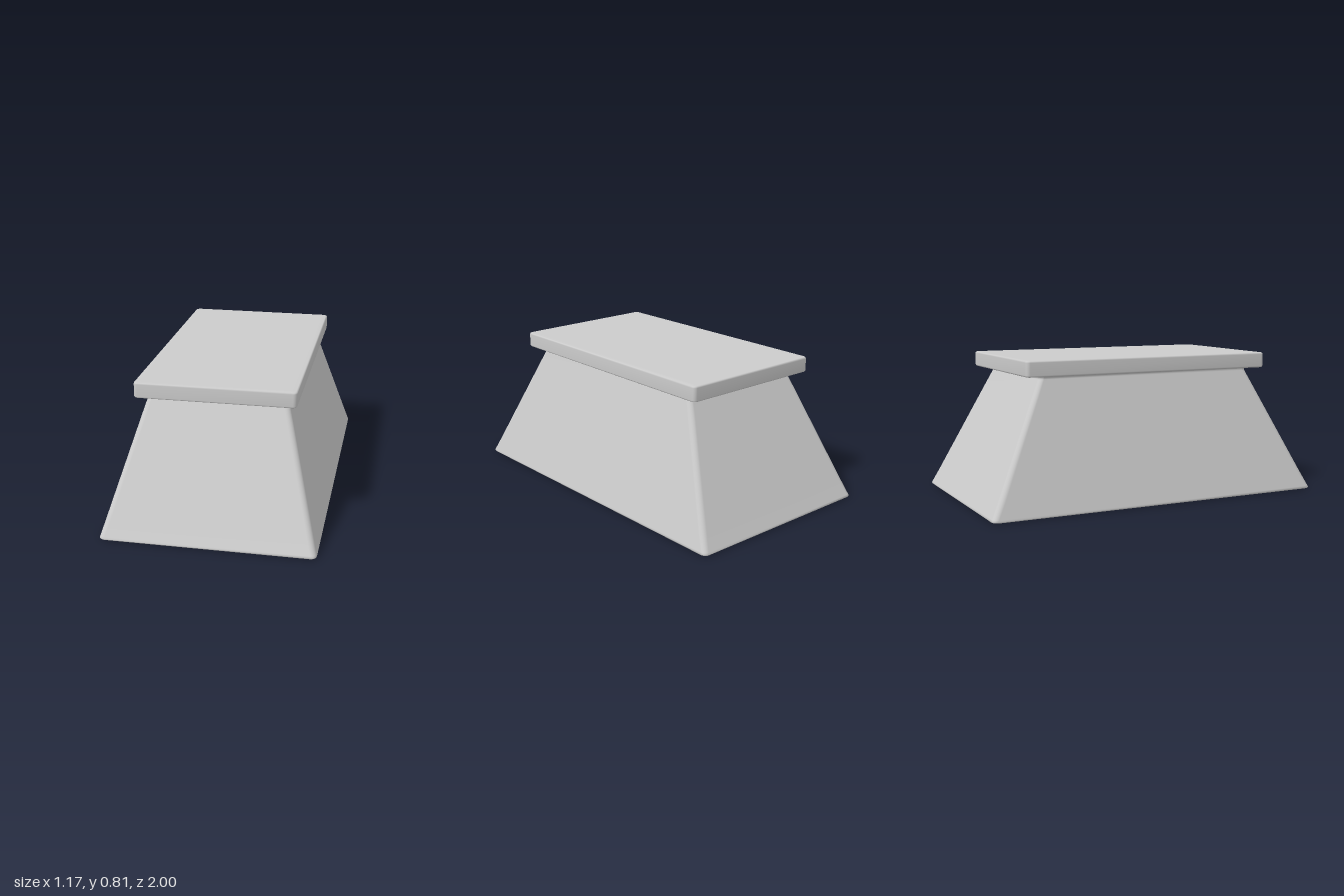
import * as THREE from 'three';

const CORNER_STEPS = 5;

// Rounded rectangle outline, counter-clockwise seen from above
function ring([hx, hz, y, r]) {
  const points = [];
  for (let c = 0; c < 4; c++) {
    const sx = c === 0 || c === 3 ? 1 : -1;
    const sz = c < 2 ? -1 : 1;
    for (let k = 0; k <= CORNER_STEPS; k++) {
      const a = (c + k / CORNER_STEPS) * Math.PI / 2;
      points.push([sx * (hx - r) + r * Math.cos(a), y, sz * (hz - r) - r * Math.sin(a)]);
    }
  }
  return points;
}

// Smooth closed skin through sections [halfWidth, halfDepth, y, cornerRadius], bottom to top
function loft(sections) {
  const n = 4 * (CORNER_STEPS + 1);
  const position = [];
  const index = [];
  sections.forEach((s) => ring(s).forEach((p) => position.push(...p)));
  const last = (sections.length - 1) * n;
  const bottom = sections.length * n;
  position.push(0, sections[0][2], 0, 0, sections[sections.length - 1][2], 0);
  for (let j = 0; j < n; j++) {
    const k = (j + 1) % n;
    for (let i = 0; i < last; i += n) {
      index.push(i + j, i + k, i + n + k, i + j, i + n + k, i + n + j);
    }
    index.push(bottom, k, j, bottom + 1, last + j, last + k);
  }
  const geometry = new THREE.BufferGeometry();
  geometry.setAttribute('position', new THREE.Float32BufferAttribute(position, 3));
  geometry.setIndex(index);
  geometry.computeVertexNormals();
  return geometry;
}

export function createModel() {
  const group = new THREE.Group();
  const material = new THREE.MeshStandardMaterial({ color: 0xcccccc });
  const add = (name, sections) => {
    const mesh = new THREE.Mesh(loft(sections), material);
    mesh.name = name;
    group.add(mesh);
  };

  // Tapered base with a softened foot edge and a small flare under the slab
  add('taperedBase', [
    [0.54, 0.955, 0, 0.02],
    [0.572, 0.988, 0, 0.025],
    [0.581, 0.997, 0.003, 0.03],
    [0.584, 1.0, 0.009, 0.03],
    [0.581, 0.995, 0.018, 0.03],
    [0.558, 0.954, 0.1, 0.032],
    [0.408, 0.7, 0.625, 0.03],
    [0.383, 0.658, 0.71, 0.028],
    [0.382, 0.656, 0.718, 0.028],
    [0.385, 0.66, 0.724, 0.028],
    [0.395, 0.67, 0.728, 0.03],
    [0.395, 0.67, 0.735, 0.03],
  ]);

  // Overhanging top slab with small rounded edges
  add('topSlab', [
    [0.4, 0.71, 0.727, 0.01],
    [0.423, 0.738, 0.727, 0.016],
    [0.431, 0.746, 0.73, 0.02],
    [0.435, 0.75, 0.737, 0.022],
    [0.435, 0.75, 0.805, 0.022],
    [0.433, 0.748, 0.812, 0.021],
    [0.427, 0.742, 0.815, 0.018],
    [0.4, 0.715, 0.815, 0.01],
  ]);

  return group;
}
